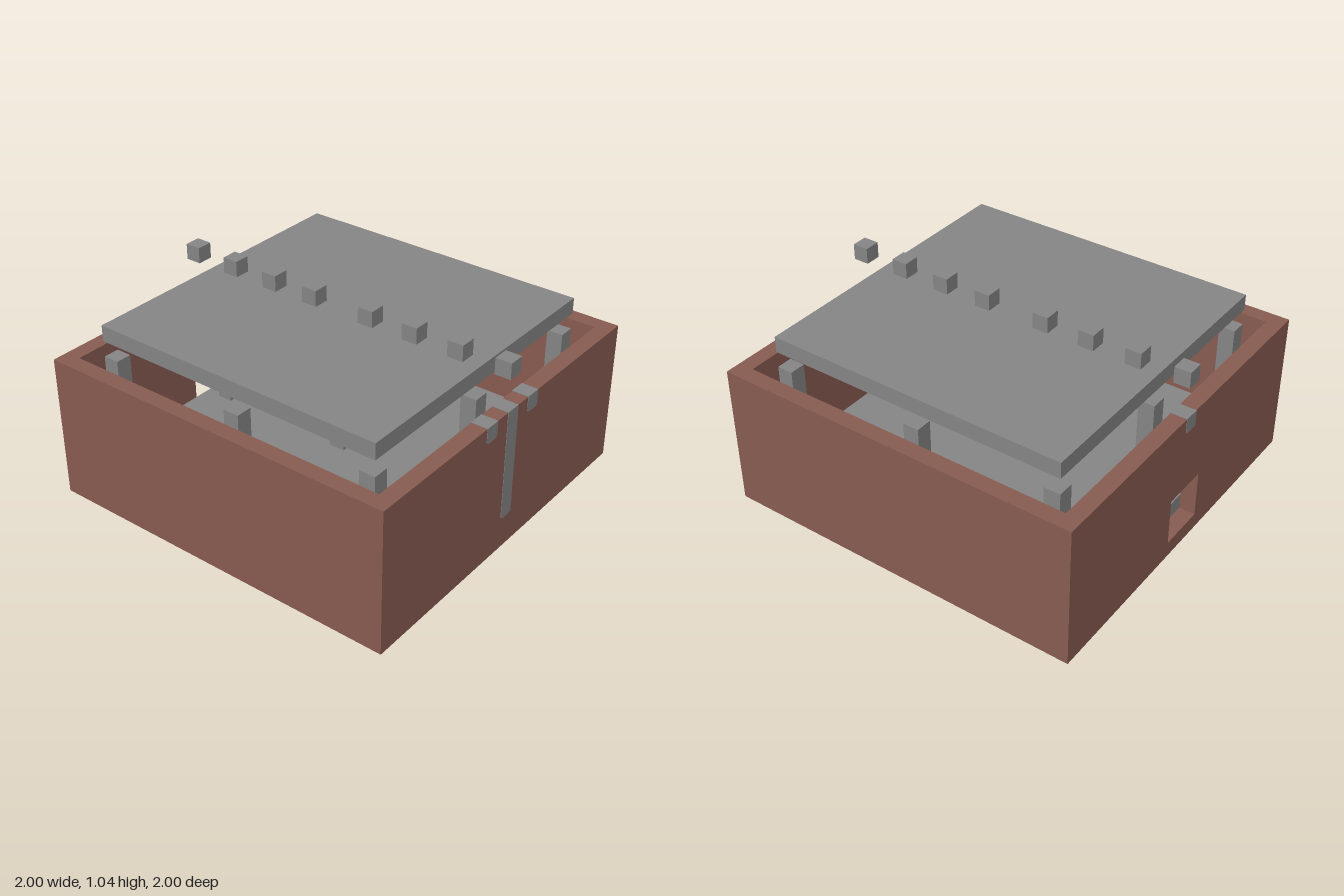
import * as THREE from 'three';

const U = 2 / 23; // one block

export function createModel() {
  const brown = new THREE.MeshStandardMaterial({ color: 0x8a5d52 });
  brown.name = 'brown clay';
  const grey = new THREE.MeshStandardMaterial({ color: 0x878787 });
  grey.name = 'grey stone';
  const model = new THREE.Group();

  // Box sized in blocks; y is the underside
  function box(name, mat, w, h, d, x, y, z) {
    const mesh = new THREE.Mesh(new THREE.BoxGeometry(w * U, h * U, d * U), mat);
    mesh.position.set(x * U, (y + h / 2) * U, z * U);
    mesh.name = name;
    model.add(mesh);
  }

  // Outer shell: base, three plain walls and a back wall with a doorway
  box('base', brown, 21, 1, 21, 0, 0, 0);
  box('frontWall', brown, 23, 9, 1, 0, 0, 11);
  for (const s of [-1, 1]) box(s > 0 ? 'leftWall' : 'rightWall', brown, 1, 9, 21, 11 * s, 0, 0);

  const wall = new THREE.Shape();
  wall.moveTo(-1, 0).lineTo(1, 0).lineTo(1, 9 * U).lineTo(-1, 9 * U).closePath();
  const door = new THREE.Path();
  door.moveTo(-1.5 * U, U).lineTo(-1.5 * U, 4 * U).lineTo(1.5 * U, 4 * U).lineTo(1.5 * U, U).closePath();
  wall.holes.push(door);
  const back = new THREE.Mesh(new THREE.ExtrudeGeometry(wall, { depth: U, bevelEnabled: false }), brown);
  back.position.z = -1;
  back.name = 'backWall';
  model.add(back);

  // Inner floor and its ring of posts
  box('floor', grey, 21, 1, 21, 0, 1, 0);
  for (const x of [-9, 0, 9]) {
    for (const z of [-9, 0, 9]) {
      if (x || z) box('post', grey, 1, 7, 1, x, 2, z);
    }
  }
  box('centreBlock', grey, 1, 1, 1, 0, 2, 0);

  // Raised roof slab with a row of cubes above it
  box('roof', grey, 19, 1, 19, 0, 10, 0);
  for (const z of [2, 5, 8, 11]) {
    for (const s of [-1, 1]) box('roofCube', grey, 1, 1, 1, 0, 11, z * s);
  }

  // Grey inlays set through the walls, rounded at the lower corners
  function inlay(name, x, bottom, z) {
    const e = 0.002, w = U / 2, r = 0.02, y0 = bottom * U, y1 = 9 * U + e;
    const s = new THREE.Shape();
    s.moveTo(-w, y1).lineTo(-w, y0 + r);
    s.quadraticCurveTo(-w, y0, -w + r, y0).lineTo(w - r, y0);
    s.quadraticCurveTo(w, y0, w, y0 + r).lineTo(w, y1).closePath();
    const geo = new THREE.ExtrudeGeometry(s, { depth: U + 2 * e, bevelEnabled: false, curveSegments: 5 });
    const mesh = new THREE.Mesh(geo, grey);
    mesh.position.set(x * U, 0, z * U - U / 2 - e);
    mesh.name = name;
    model.add(mesh);
  }
  inlay('frontStripe', 0, 2, 11);
  for (const s of [-1, 1]) inlay('frontNotch', 2 * s, 8, 11);
  inlay('backNotch', 0, 8, -11);

  return model;
}
